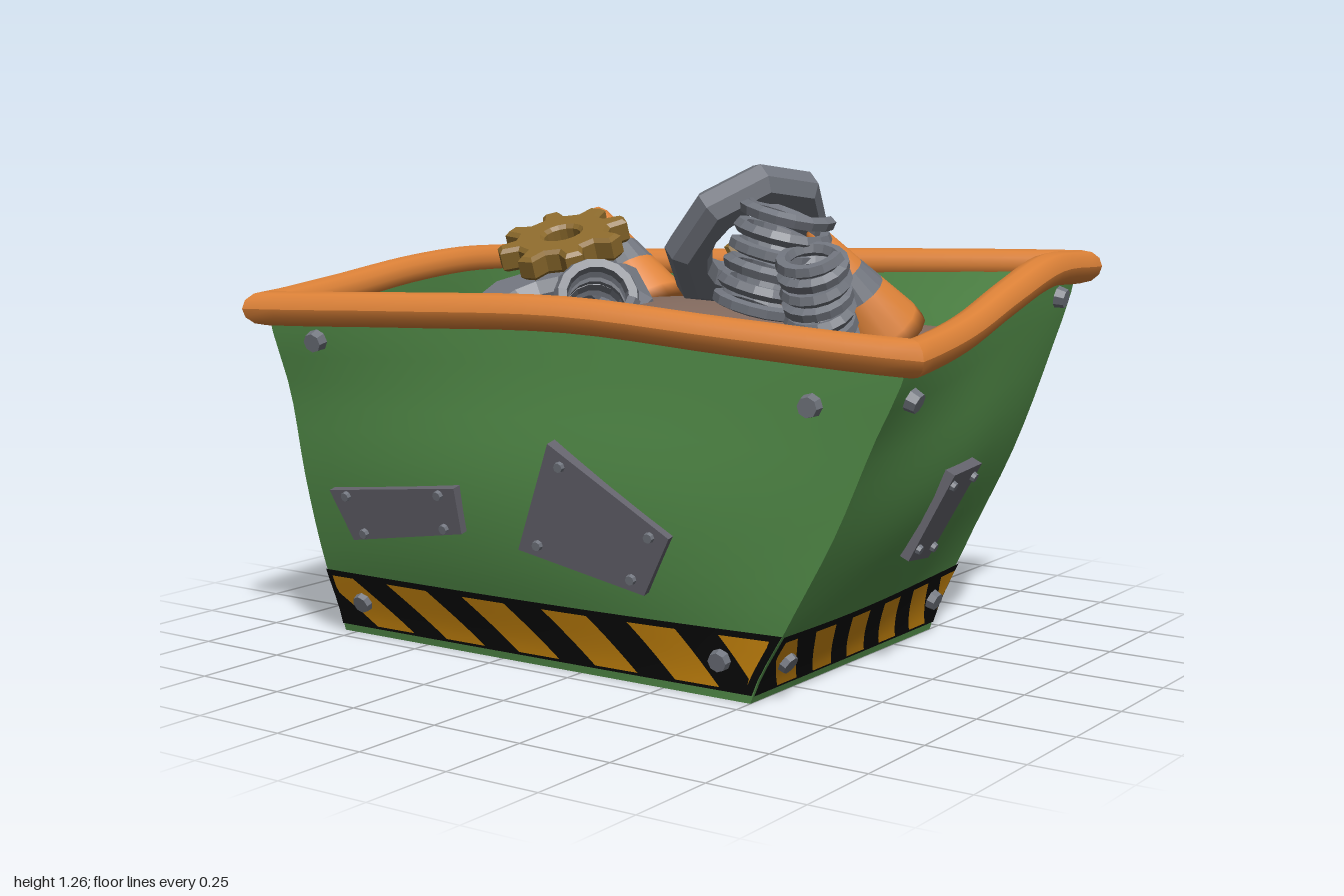
import * as THREE from 'three';

const V3 = (x, y, z) => new THREE.Vector3(x, y, z);
const mat = (name, color, extra = {}) => {
  const m = new THREE.MeshStandardMaterial({ color, ...extra });
  m.name = name;
  return m;
};
// Point on a spline, held at its ends
const along = (curve, t) => curve.getPoint(THREE.MathUtils.clamp(t, 0, 1));

// Height of the rim along each side: front, right, back, left (each left to right from outside)
const rimHeights = [
  [0.89, 0.905, 0.915, 0.885, 0.86],
  [0.86, 0.885, 0.94, 0.985, 0.975],
  [0.975, 0.965, 0.95, 0.935, 0.935],
  [0.935, 0.945, 0.935, 0.91, 0.89],
].map(a => new THREE.SplineCurve(a.map(h => new THREE.Vector2(h, 0))));
const rimY = (s, u) => along(rimHeights[s], u).x;

// Corner lines of the twisted bin from base to rim, as (x, z)
const corners = [
  [[-0.79, 0.45], [-0.79, 0.53], [-0.79, 0.59], [-0.79, 0.635], [-0.8, 0.7]],
  [[0.5, 0.44], [0.62, 0.46], [0.74, 0.465], [0.84, 0.475], [0.94, 0.485]],
  [[0.5, -0.45], [0.58, -0.51], [0.67, -0.585], [0.74, -0.64], [0.79, -0.7]],
  [[-0.8, -0.44], [-0.89, -0.455], [-0.935, -0.47], [-0.94, -0.48], [-0.945, -0.487]],
].map(a => new THREE.SplineCurve(a.map(p => new THREE.Vector2(...p))));
const bulge = [0.045, 0.05, 0.045, 0.07];

// Point on wall s; u runs left to right from outside, v from base to rim
function wall(s, u, v) {
  const p = along(corners[s], v), q = along(corners[(s + 1) % 4], v);
  const d = q.clone().sub(p).normalize();
  const swell = bulge[s] * Math.sin(Math.PI * THREE.MathUtils.clamp(v, 0, 1)) ** 1.5 * Math.sin(Math.PI * u);
  p.lerp(q, u);
  return V3(p.x - d.y * swell, v * rimY(s, u), p.y + d.x * swell);
}
const wallAt = (s, u, y) => wall(s, u, y / rimY(s, u));

// Local frame on a wall: t along it, n outward, b upward
function wallFrame(s, u, y) {
  const o = wallAt(s, u, y), e = 0.01;
  const t = wallAt(s, u + e, y).sub(wallAt(s, u - e, y)).normalize();
  const up = wallAt(s, u, y + e).sub(wallAt(s, u, y - e));
  const n = t.clone().cross(up).normalize();
  return { o, t, n, b: n.clone().cross(t) };
}
const raised = (s, u, y, off) => {
  const f = wallFrame(s, u, y);
  return f.o.addScaledVector(f.n, off);
};

// Smooth surface from a rule f(u, v)
function grid(nu, nv, f) {
  const pos = [], idx = [], w = nv + 1;
  for (let i = 0; i <= nu; i++)
    for (let j = 0; j <= nv; j++) pos.push(...f(i / nu, j / nv).toArray());
  for (let i = 0; i < nu; i++)
    for (let j = 0; j < nv; j++) {
      const a = i * w + j, b = a + w;
      idx.push(a, b, b + 1, a, b + 1, a + 1);
    }
  const g = new THREE.BufferGeometry();
  g.setAttribute('position', new THREE.Float32BufferAttribute(pos, 3));
  g.setIndex(idx);
  g.computeVertexNormals();
  return g;
}

// Centred flat part with an optional round hole, facing +z
function slab(points, hole, depth, bevel) {
  const shape = new THREE.Shape(points);
  if (hole) shape.holes.push(new THREE.Path().absarc(0, 0, hole, 0, Math.PI * 2, true));
  const g = new THREE.ExtrudeGeometry(shape, {
    depth: depth - 2 * bevel, bevelEnabled: bevel > 0, bevelSize: bevel,
    bevelThickness: bevel, bevelOffset: -bevel, bevelSegments: 1, curveSegments: 8,
  });
  return g.translate(0, 0, bevel - depth / 2);
}
const polar = (r, a) => new THREE.Vector2(r * Math.cos(a), r * Math.sin(a));
function gearGeometry(r) {
  const pts = [];
  for (let i = 0; i < 8; i++)
    for (const [k, q] of [[-0.32, 0.74], [-0.17, 1], [0.17, 1], [0.32, 0.74]])
      pts.push(polar(r * q, (i + k) * Math.PI / 4));
  return slab(pts, r * 0.28, 0.065, 0.01);
}
function nutGeometry(r, hole) {
  const pts = Array.from({ length: 8 }, (_, i) => polar(r, (i + 0.5) * Math.PI / 4));
  return slab(pts, hole, 0.1, 0.028);
}
function springGeometry(r, length, turns) {
  const pts = [];
  for (let i = 0; i <= turns * 12; i++) {
    const a = i * Math.PI / 6;
    pts.push(V3(r * Math.cos(a), r * Math.sin(a), (i / (turns * 12) - 0.5) * length));
  }
  return new THREE.TubeGeometry(new THREE.CatmullRomCurve3(pts), turns * 16, 0.018, 5);
}

export function createModel() {
  const root = new THREE.Group();
  const green = mat('green paint', 0x56924c, { side: THREE.DoubleSide });
  const orange = mat('orange', 0xdd8238);
  const brown = mat('brown dirt', 0x846b5f);
  const gold = mat('old brass', 0x8c6a2c, { flatShading: true });
  const steel = mat('steel', 0x70747d, { flatShading: true });
  const plate = mat('dark plate', 0x64636c, { flatShading: true });
  const black = mat('black', 0x0a0a0a);
  const yellow = mat('hazard yellow', 0xd8900f);

  const add = (name, geo, m, parent = root) => {
    const mesh = new THREE.Mesh(geo, m);
    mesh.name = name;
    parent.add(mesh);
    return mesh;
  };
  const aim = (mesh, pos, dir, from = V3(0, 0, 1)) => {
    mesh.position.copy(pos);
    mesh.quaternion.setFromUnitVectors(from, dir.clone().normalize());
    return mesh;
  };
  const boltOn = (name, f, r, h) =>
    aim(add(name, new THREE.CylinderGeometry(r * 0.85, r, h, 8), steel), f.o.clone().addScaledVector(f.n, h / 2), f.n, V3(0, 1, 0));

  // Walls, rim, hazard band and bolts (u, depth below rim or height) on each side
  const turn = 0.124, tube = 0.044;
  const signs = [[-1, 1], [1, 1], [1, -1], [-1, -1]];
  const bolts = [
    [[0.08, 0.08], [0.89, 0.13]], [[0.08, 0.11], [0.9, 0.075]],
    [[0.09, 0.1], [0.91, 0.1]], [[0.1, 0.1], [0.88, 0.125]],
  ];
  for (let s = 0; s < 4; s++) {
    add('wall', grid(16, 14, (u, v) => wall(s, u, v)), green);
    add('innerWall', grid(16, 5, (u, v) => raised(s, u, (0.7 + 0.3 * v) * rimY(s, u), -0.035)), green);
    add('rim', grid(20, 12, (u, v) => {
      const a = v * Math.PI * 2, o = tube * Math.cos(a);
      const [p, q] = [signs[s], signs[(s + 1) % 4]].map(k => V3(k[0] * (0.88 + o), 0, k[1] * (0.6 + o)));
      p.lerp(q, u).applyAxisAngle(V3(0, 1, 0), turn);
      return p.setY(rimY(s, u) + tube * Math.sin(a));
    }), orange);
    add('hazardBand', grid(16, 4, (u, v) => raised(s, u, 0.022 + 0.16 * v, 0.005)), black);
    for (let k = -1; k < 6; k++)
      add('hazardStripe', grid(3, 8, (u, v) => {
        const x = -0.03 + k * 0.183 + u * 0.098 + (1 - v) * 0.13;
        return raised(s, THREE.MathUtils.clamp(x, 0.015, 0.985), 0.032 + 0.136 * v, 0.009);
      }), yellow);
    for (const [u, drop] of bolts[s])
      boltOn('rimBolt', wallFrame(s, u, rimY(s, u) - drop), 0.029, 0.026);
    for (const u of [0.08, 0.91])
      boltOn('bandBolt', wallFrame(s, u, 0.103), 0.029, 0.026);
  }

  // Base and heap of dirt
  add('base', grid(1, 1, (u, v) => wall(0, u, 0).lerp(wall(2, 1 - u, 0), v)), green);
  add('dirt', grid(24, 20, (u, v) => {
    const p = wall(0, u, 0.81).lerp(wall(2, 1 - u, 0.81), 0.008 + 0.984 * v);
    const heap = Math.max(0, Math.sin(Math.PI * u) * Math.sin(Math.PI * v)) ** 0.65;
    p.y += 0.135 * heap + 0.008 * Math.sin(9 * u + 5 * v);
    return p;
  }), brown);

  // Riveted repair plates: side, then four corners as (u, y)
  const patches = [
    [0, [[0.065, 0.42], [0.34, 0.47], [0.355, 0.35], [0.105, 0.29]]],
    [0, [[0.51, 0.61], [0.745, 0.4], [0.73, 0.25], [0.475, 0.33]]],
    [1, [[0.42, 0.53], [0.585, 0.535], [0.57, 0.29], [0.415, 0.31]]],
    [2, [[0.33, 0.46], [0.5, 0.47], [0.47, 0.33], [0.3, 0.31]]],
    [2, [[0.55, 0.55], [0.86, 0.58], [0.86, 0.45], [0.54, 0.39]]],
    [3, [[0.42, 0.53], [0.65, 0.6], [0.7, 0.49], [0.48, 0.41]]],
  ];
  for (const [s, pts] of patches) {
    const cu = pts.reduce((a, p) => a + p[0] / 4, 0), cy = pts.reduce((a, p) => a + p[1] / 4, 0);
    const f = wallFrame(s, cu, cy);
    const flat = pts.map(([u, y]) => {
      const d = wallAt(s, u, y).sub(f.o);
      return new THREE.Vector2(d.dot(f.t), d.dot(f.b));
    }).reverse();
    const mesh = add('repairPlate', slab(flat, 0, 0.036, 0), plate);
    mesh.applyMatrix4(new THREE.Matrix4().makeBasis(f.t, f.b, f.n).setPosition(f.o));
    for (const p of flat) {
      const o = f.o.clone().addScaledVector(f.t, p.x * 0.74).addScaledVector(f.b, p.y * 0.74).addScaledVector(f.n, 0.017);
      boltOn('rivet', { o, n: f.n }, 0.014, 0.012);
    }
  }

  // Gears
  aim(add('gear', gearGeometry(0.175), gold), V3(-0.34, 1.035, 0.06), V3(0.02, 0.93, 0.34));
  aim(add('gear', gearGeometry(0.18), gold), V3(0.09, 0.9, -0.3), V3(0.43, 0.3, 0.9));
  aim(add('gear', gearGeometry(0.155), gold), V3(-0.57, 0.81, -0.29), V3(0.86, 0.3, 0.5));

  // Large nuts
  aim(add('nut', nutGeometry(0.225, 0.11), steel), V3(0.21, 1.075, 0.015), V3(-0.72, 0.63, -0.28));
  aim(add('nut', nutGeometry(0.29, 0.13), steel), V3(-0.35, 0.835, 0.11), V3(0, 0.92, 0.4));

  // Springs
  aim(add('spring', springGeometry(0.088, 0.2, 5), steel), V3(0.02, 0.91, 0.4), V3(0.55, 0.45, 0.67));
  aim(add('spring', springGeometry(0.105, 0.28, 6), steel), V3(0.37, 1.02, 0.145), V3(0.3, 0.93, -0.05));
  aim(add('spring', springGeometry(0.073, 0.24, 6), steel), V3(0.525, 0.95, 0.19), V3(0.1, 0.87, 0.42));

  // Traffic cones with a grey band, given by tip and base
  const coneParts = [['coneBody', orange, [[0, 0.36], [0.016, 0.355], [0.03, 0.335], [0.062, 0.22]]],
    ['coneBand', steel, [[0.062, 0.22], [0.083, 0.15]]],
    ['coneBody', orange, [[0.083, 0.15], [0.115, 0.04], [0.12, 0], [0, 0]]]];
  for (const [tip, base] of [[V3(-0.48, 1.12, -0.25), V3(-0.26, 0.82, -0.23)], [V3(0.41, 1.09, 0.02), V3(0.51, 0.81, -0.16)]]) {
    const cone = new THREE.Group();
    cone.name = 'trafficCone';
    for (const [name, m, pts] of coneParts)
      add(name, new THREE.LatheGeometry(pts.map(p => new THREE.Vector2(...p)).reverse(), 16), m, cone);
    aim(cone, base, tip.clone().sub(base), V3(0, 1, 0));
    root.add(cone);
  }
  return root;
}
